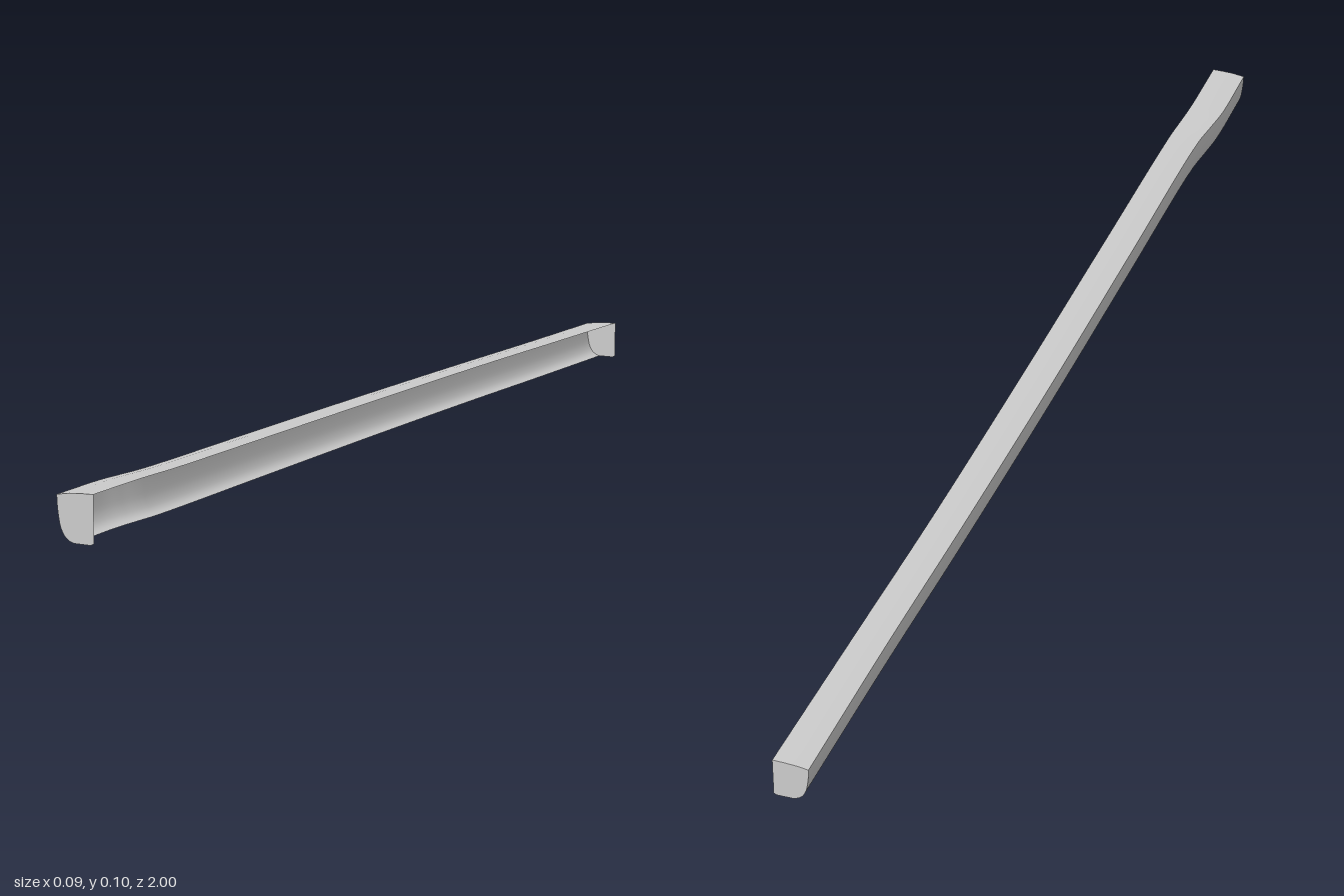
import * as THREE from 'three';

const material = new THREE.MeshStandardMaterial({ color: 0xcccccc, side: THREE.DoubleSide });

// Stations along the trim: x of the outer edge, x of the inner edge, z
const edges = new THREE.CatmullRomCurve3([
  [-0.058, -0.001, 1], [-0.058, -0.001, 0.87], [-0.053, 0.001, 0.82], [-0.047, 0.004, 0.76],
  [-0.045, 0.006, 0.4], [-0.043, 0.008, 0], [-0.037, 0.013, -0.4],
  [-0.03, 0.021, -0.7], [-0.026, 0.029, -1],
].map((p) => new THREE.Vector3(...p)), false, 'centripetal');

// Section in fractions: 0 is the outer edge / bottom, 1 the inner edge / top
const topSection = [[1, 1], [0.7, 0.998], [0.35, 0.985], [0, 0.945]];
const wallCurve = new THREE.SplineCurve([
  [0, 0.945], [0.01, 0.75], [0.05, 0.48], [0.1, 0.3], [0.19, 0.15], [0.31, 0.06], [0.45, 0.01],
].map((p) => new THREE.Vector2(...p)));
const wallSection = wallCurve.getPoints(14).map((p) => [p.x, p.y]);
const capBottom = [[0.92, 0], [1, 0.04]];

// Place a section point at station t (0 front, 1 back)
function place([u, v], t) {
  const e = edges.getPoint(t);
  const top = 0.084 + 0.021 * e.z;
  const bottom = 0.0165 + 0.0165 * e.z;
  return [THREE.MathUtils.lerp(e.x, e.y, u), THREE.MathUtils.lerp(bottom, top, v), e.z];
}

// Sweep an open section along the trim
function sweep(name, section, steps = 80) {
  const positions = [], index = [], n = section.length;
  for (let i = 0; i <= steps; i++) {
    for (const p of section) positions.push(...place(p, i / steps));
  }
  for (let i = 0; i < steps; i++) {
    for (let j = 0; j < n - 1; j++) {
      const a = i * n + j, b = a + n;
      index.push(a, b, a + 1, b, b + 1, a + 1);
    }
  }
  const geometry = new THREE.BufferGeometry();
  geometry.setAttribute('position', new THREE.Float32BufferAttribute(positions, 3));
  geometry.setIndex(index);
  geometry.computeVertexNormals();
  const mesh = new THREE.Mesh(geometry, material);
  mesh.name = name;
  return mesh;
}

// Flat end plate filling the whole section
function endCap(name, t) {
  const outline = [...topSection, ...wallSection.slice(1), ...capBottom]
    .map((p) => new THREE.Vector2(...place(p, t)));
  const geometry = new THREE.ShapeGeometry(new THREE.Shape(outline));
  if (t === 1) geometry.rotateY(Math.PI).scale(-1, 1, 1);
  const mesh = new THREE.Mesh(geometry, material);
  mesh.name = name;
  mesh.position.z = edges.getPoint(t).z;
  return mesh;
}

export function createModel() {
  const group = new THREE.Group();
  group.name = 'sideTrim';
  group.add(
    sweep('topPanel', topSection),
    sweep('outerWall', wallSection),
    endCap('frontCap', 0),
    endCap('backCap', 1),
  );
  return group;
}
